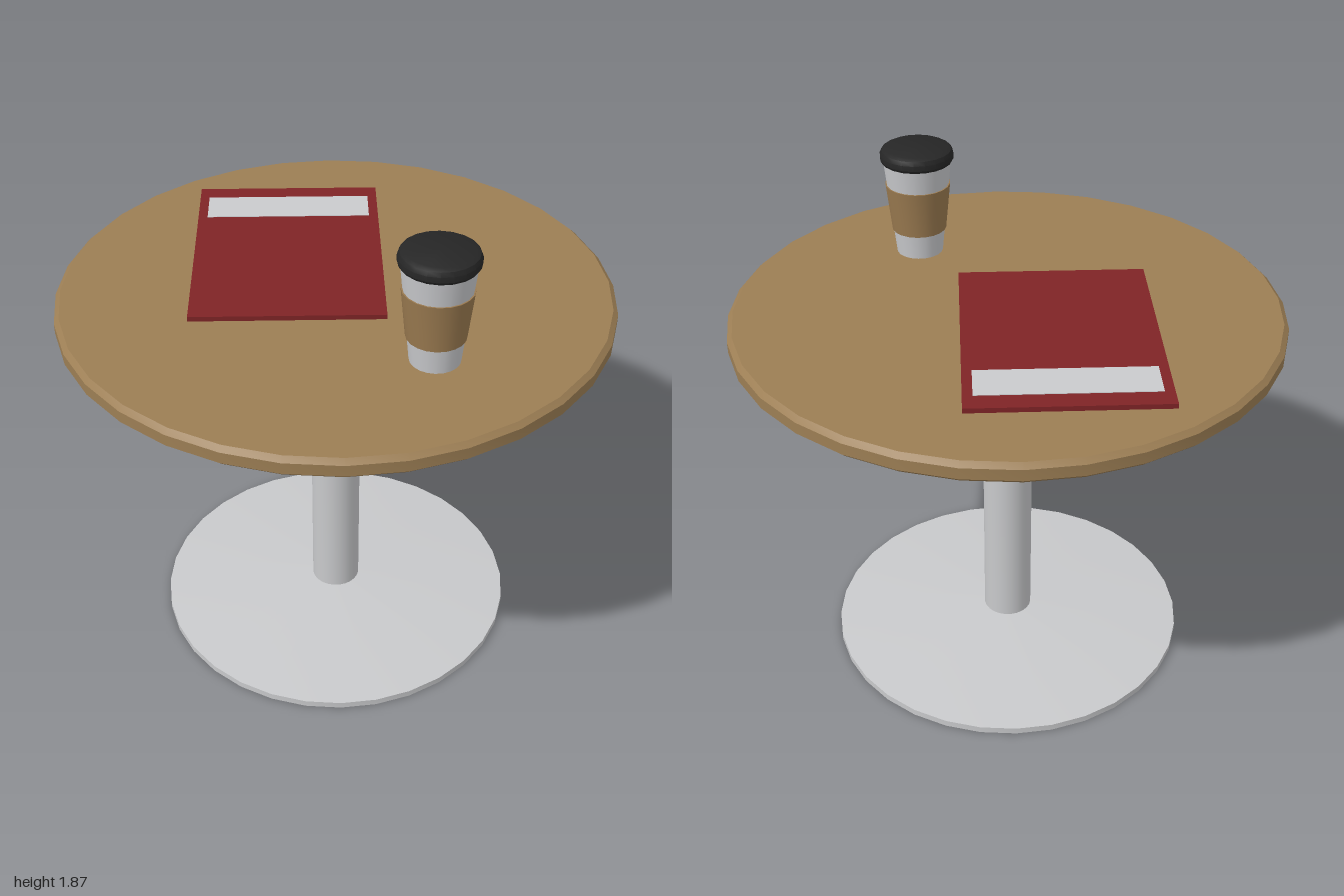
import * as THREE from 'three';
import { toCreasedNormals } from 'three/addons/utils/BufferGeometryUtils.js';

const material = (name, color) => {
  const m = new THREE.MeshStandardMaterial({ color });
  m.name = name;
  return m;
};

export function createModel() {
  const wood = material('wood', 0x9c7e54);
  const metal = material('metal', 0xc8c9cb);
  const black = material('black', 0x262626);
  const red = material('red', 0x7f2426);
  const white = material('white', 0xc9cacd);
  const cardboard = material('cardboard', 0x9a7a50);

  const model = new THREE.Group();
  model.name = 'cafeTable';

  // Round part from [radius, height] points, listed bottom to top
  const turned = (name, mat, points, sides, parent = model) => {
    const profile = points.map(([r, y]) => new THREE.Vector2(r, y));
    const geometry = toCreasedNormals(new THREE.LatheGeometry(profile, sides), 0.5);
    const mesh = new THREE.Mesh(geometry, mat);
    mesh.name = name;
    parent.add(mesh);
    return mesh;
  };

  // Table
  turned('base', metal, [[0, 0], [0.69, 0], [0.69, 0.025], [0.1, 0.068], [0, 0.068]], 32);
  turned('post', metal, [[0, 0.05], [0.094, 0.05], [0.094, 1.36], [0, 1.36]], 24);
  turned('mountingPlate', black, [[0, 1.35], [0.373, 1.35], [0.373, 1.385], [0, 1.385]], 32);
  turned('tableTop', wood, [
    [0, 1.38], [0.982, 1.38], [1, 1.397], [1, 1.438], [0.982, 1.455], [0, 1.455],
  ], 32);

  // Closed folder with a pale label, turned on the table
  const folder = new THREE.Group();
  folder.name = 'folder';
  folder.position.set(-0.25, 1.455, -0.16);
  folder.rotation.y = 0.386;
  const slab = (name, mat, w, h, d, y, z) => {
    const mesh = new THREE.Mesh(new THREE.BoxGeometry(w, h, d), mat);
    mesh.name = name;
    mesh.position.set(0, y, z);
    folder.add(mesh);
  };
  slab('folderCover', red, 0.69, 0.018, 0.93, 0.009, 0);
  slab('folderLabel', white, 0.62, 0.004, 0.155, 0.018, -0.313);
  model.add(folder);

  // Takeaway cup
  const cup = new THREE.Group();
  cup.name = 'cup';
  cup.position.set(0.47, 1.455, 0.31);
  turned('cupBody', white, [[0, 0], [0.088, 0], [0.127, 0.37], [0, 0.37]], 20, cup);
  turned('cupSleeve', cardboard, [
    [0.096, 0.095], [0.103, 0.095], [0.122, 0.275], [0.115, 0.275],
  ], 20, cup);
  turned('cupLid', black, [
    [0, 0.365], [0.131, 0.365], [0.137, 0.375], [0.137, 0.395],
    [0.13, 0.41], [0.115, 0.418], [0, 0.418],
  ], 20, cup);
  model.add(cup);

  return model;
}
